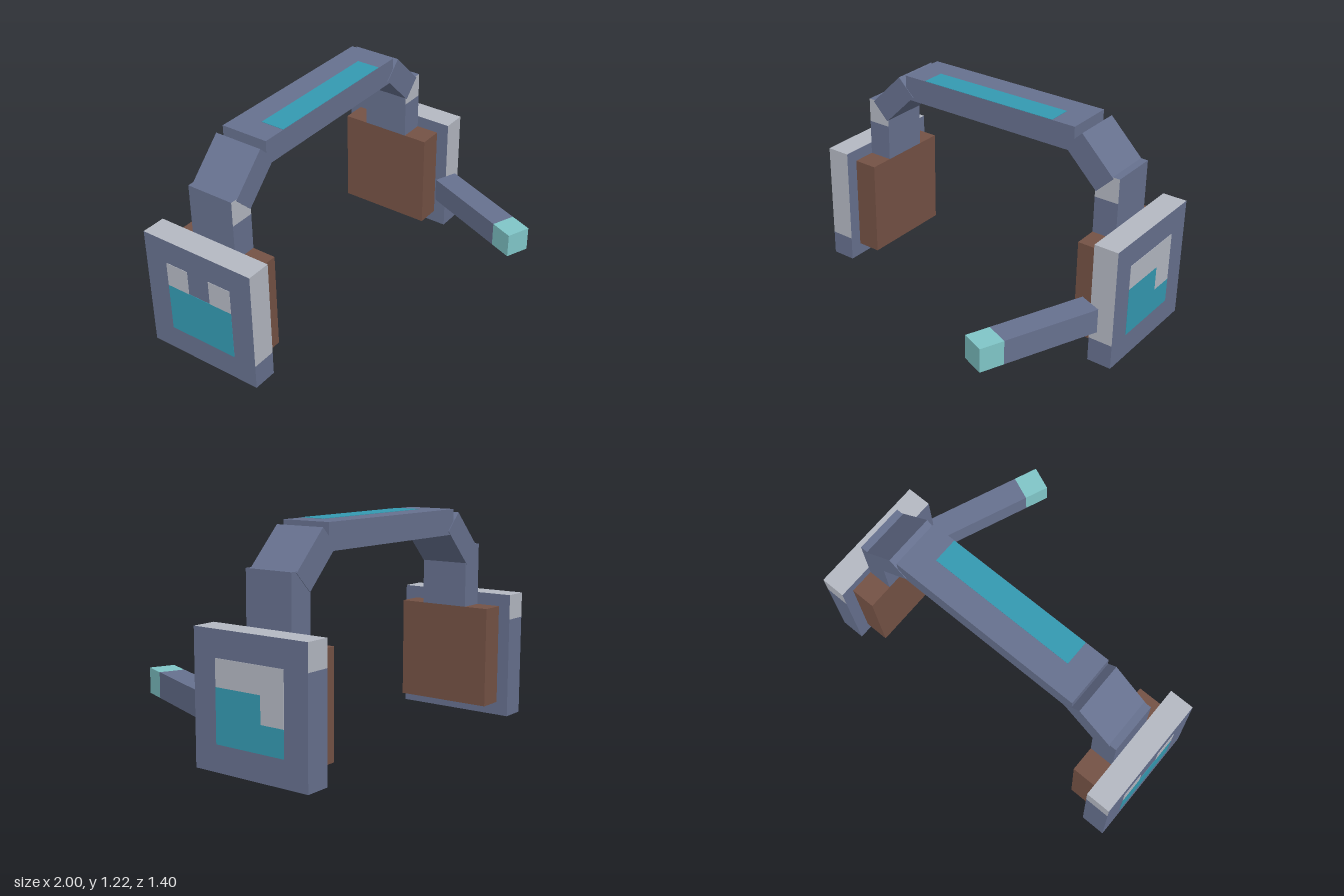
import * as THREE from 'three';

export function createModel() {
  const model = new THREE.Group();
  model.name = 'headset';

  const mat = (name, color) => {
    const m = new THREE.MeshStandardMaterial({ color });
    m.name = name;
    return m;
  };
  const blue = mat('slate blue', 0x67718f);
  const grey = mat('light grey', 0xb5b9c3);
  const brown = mat('brown leather', 0x755245);
  const teal = mat('teal', 0x349ab2);
  const aqua = mat('pale aqua', 0x80c6c8);

  // Box given by its limits on each axis; material may be an array of six faces
  const box = (name, [x0, x1], [y0, y1], [z0, z1], material, parent = model) => {
    const mesh = new THREE.Mesh(new THREE.BoxGeometry(x1 - x0, y1 - y0, z1 - z0), material);
    mesh.position.set((x0 + x1) / 2, (y0 + y1) / 2, (z0 + z1) / 2);
    mesh.name = name;
    parent.add(mesh);
    return mesh;
  };
  // Limits mirrored to the chosen side
  const on = (s, a, b) => (s > 0 ? [a, b] : [-b, -a]);

  const U = 0.143; // pixel size of the blocky design
  const bandZ = [-0.487, -0.203];
  const cupZ = [-0.7, 0.012];

  for (const s of [1, -1]) {
    const side = s > 0 ? 'left' : 'right';

    // Ear cup in three bands, with grey trim on front, top and upper back
    const cup = new THREE.Group();
    cup.name = side + 'EarCup';
    model.add(cup);
    const cupX = on(s, 0.857, 1);
    box('cupBase', cupX, [0, U], cupZ, blue, cup);
    box('cupMiddle', cupX, [U, 4 * U], cupZ, [blue, blue, blue, blue, grey, blue], cup);
    box('cupTop', cupX, [4 * U, 5 * U], cupZ, [blue, blue, grey, blue, grey, grey], cup);

    // Cushion and upright arm
    box(side + 'Cushion', on(s, 0.714, 0.857), [0.076, 0.645], [-0.63, -0.063], brown);
    box(side + 'ArmLower', on(s, 0.714, 0.857), [0.645, 0.857], bandZ, blue);
    box(side + 'ArmUpper', on(s, 0.714, 0.857), [0.857, 1], bandZ,
      [blue, blue, blue, blue, grey, blue]);

    // Slanted joint between the arm and the headband
    const joint = box(side + 'Joint', [-U, U], [-U / 2, U / 2], [-0.49, -0.2], blue);
    joint.position.set(s * 0.67, 1.043, -0.345);
    joint.rotation.z = -s * Math.PI / 4;
  }

  // Headband with its inlaid strip
  box('headband', [-0.571, 0.571], [1.073, 1.216], bandZ, blue);
  box('headbandStrip', [-0.429, 0.429], [1.215, 1.218], [-0.345, -0.204], teal);

  // Emblem tiles on the outer cup faces: [rear column, front column, low row, high row]
  const tiles = (name, s, list) => {
    const group = new THREE.Group();
    group.name = name;
    model.add(group);
    for (const [c0, c1, r0, r1, material] of list) {
      box('tile', on(s, 0.999, 1.002), [r0 * U, r1 * U],
        [-0.7 + c0 * U, -0.7 + c1 * U], material, group);
    }
  };
  tiles('leftCupPanel', 1, [
    [1, 4, 1, 2, teal], [2, 4, 2, 3, teal], [1, 2, 2, 3, grey], [1, 4, 3, 4, grey],
  ]);
  tiles('rightCupPanel', -1, [
    [1, 4, 1, 3, teal], [1, 2, 3, 4, grey], [3, 4, 3, 4, grey],
  ]);

  // Microphone boom, angled inwards, with a pale tip
  const mic = new THREE.Group();
  mic.name = 'microphone';
  mic.position.set(0.7175, 0.288, 0.342);
  mic.rotation.y = -Math.PI / 8;
  model.add(mic);
  const half = [-U / 2, U / 2];
  box('micBoom', half, half, [-2.5 * U, 1.5 * U], blue, mic);
  box('micTip', half, half, [1.5 * U, 2.5 * U], aqua, mic);

  return model;
}
